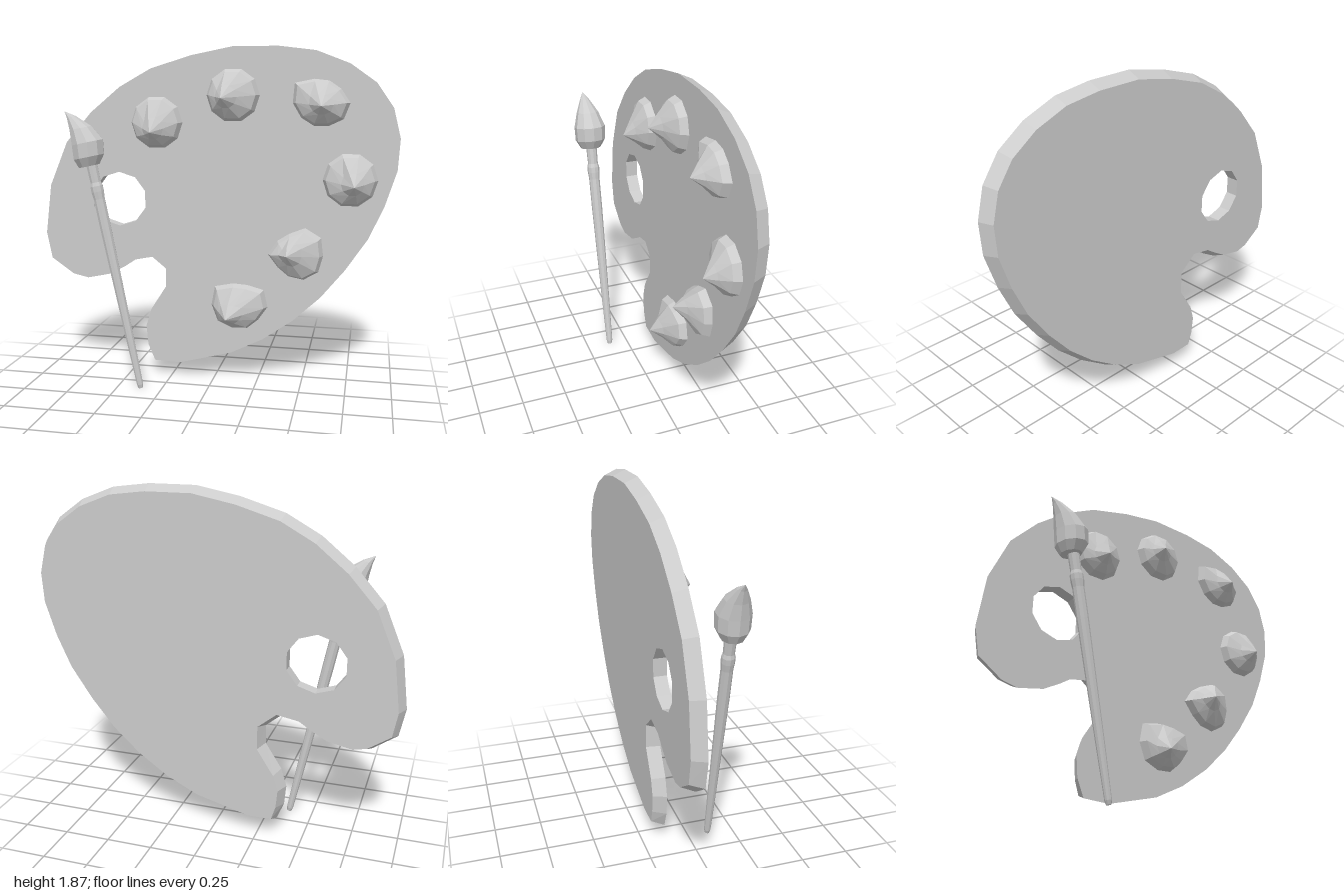
import * as THREE from 'three';

const material = new THREE.MeshStandardMaterial({ color: 0xcccccc, flatShading: true });

// Skin a list of closed rings (arrays of Vector3, all the same length)
function loft(rings) {
  const n = rings[0].length;
  const positions = rings.flat().flatMap((p) => [p.x, p.y, p.z]);
  const index = [];
  for (let i = 0; i < rings.length - 1; i++) {
    for (let k = 0; k < n; k++) {
      const a = i * n + k, b = i * n + (k + 1) % n;
      index.push(a, b, b + n, a, b + n, a + n);
    }
  }
  const g = new THREE.BufferGeometry();
  g.setAttribute('position', new THREE.Float32BufferAttribute(positions, 3));
  g.setIndex(index);
  g.computeVertexNormals();
  return g;
}

function part(name, geometry) {
  const mesh = new THREE.Mesh(geometry, material);
  mesh.name = name;
  return mesh;
}

// Board with thumb hole and notch; its back outline is slightly smaller
function makePalette() {
  const outline = [
    [-0.2, 0.08], [0.1, 0.16], [0.28, 0.25], [0.45, 0.37], [0.6, 0.51], [0.73, 0.67],
    [0.85, 0.85], [0.93, 1.03], [0.99, 1.22], [1, 1.39], [0.96, 1.55], [0.87, 1.68],
    [0.73, 1.78], [0.55, 1.85], [0.35, 1.875], [0.1, 1.875], [-0.13, 1.83], [-0.36, 1.76],
    [-0.54, 1.66], [-0.71, 1.52], [-0.86, 1.35], [-0.965, 1.1], [-1, 0.82], [-0.97, 0.67],
    [-0.84, 0.58], [-0.75, 0.56], [-0.61, 0.59], [-0.52, 0.64], [-0.46, 0.68], [-0.36, 0.7],
    [-0.28, 0.635], [-0.28, 0.53], [-0.37, 0.39], [-0.4, 0.29], [-0.39, 0.18], [-0.35, 0.085],
  ].map(([x, y]) => new THREE.Vector2(x, y));
  const shape = new THREE.Shape(outline);
  const hole = [];
  for (let k = 0; k < 10; k++) {
    const a = -(k + 0.5) / 10 * Math.PI * 2;
    hole.push(new THREE.Vector2(-0.55 + 0.16 * Math.cos(a), 1.03 + 0.155 * Math.sin(a)));
  }
  shape.holes.push(new THREE.Path(hole));

  const g = new THREE.ExtrudeGeometry(shape, { depth: 0.07, bevelEnabled: false });
  const pos = g.attributes.position;
  const n = outline.length;
  for (let i = 0; i < pos.count; i++) {
    if (pos.getZ(i) > 0.01) continue;
    const p = new THREE.Vector2(pos.getX(i), pos.getY(i));
    const k = outline.findIndex((q) => q.distanceTo(p) < 1e-4);
    if (k < 0) continue;
    const t = outline[(k + 1) % n].clone().sub(outline[(k + n - 1) % n]).normalize();
    pos.setXY(i, p.x - t.y * 0.032, p.y + t.x * 0.032);
  }
  g.translate(0, 0, -0.2);
  g.computeVertexNormals();
  return part('palette', g);
}

// Dab of paint: low rim, then a swirled cone to an off-centre peak
function makeDab([cx, cy, px, py, radii]) {
  const n = 10;
  const ring = (size, lean, z, swirl = 0) => Array.from({ length: n }, (_, k) => {
    const a = k / n * Math.PI * 2;
    const r = (radii ? radii[k] : 0.147) * size;
    const turn = ((k + 6) % n) / n - 0.5;
    return new THREE.Vector3(
      cx + (px - cx) * lean + r * Math.cos(a),
      cy + (py - cy) * lean + r * Math.sin(a),
      z + swirl * turn);
  });
  return part('paintDab', loft([
    ring(1, 0, -0.13), ring(0.88, 0, -0.09), ring(0.42, 0.6, -0.045, 0.025), ring(0, 1, 0.01),
  ]));
}

// Round section of the leaning brush
function brushRing([x, y, r]) {
  const lean = 0.204;
  return Array.from({ length: 10 }, (_, k) => {
    const a = k / 10 * Math.PI * 2;
    const c = r * Math.cos(a);
    return new THREE.Vector3(x + c * Math.cos(lean), y + c * Math.sin(lean), 0.11 - r * Math.sin(a));
  });
}

function makeBrush() {
  const brush = new THREE.Group();
  brush.name = 'brush';
  const handle = [
    [0.004, 0], [0.004, 0.013], [0.025, 0.018], [0.3, 0.023], [0.6, 0.027], [0.9, 0.031],
    [1.06, 0.031], [1.1, 0.035], [1.13, 0.035], [1.15, 0.029], [1.25, 0.031],
  ].map(([y, r]) => brushRing([-0.366 - 0.207 * y, y, r]));
  const bristles = [
    [-0.635, 1.238, 0], [-0.638, 1.238, 0.058], [-0.638, 1.288, 0.086], [-0.645, 1.365, 0.088],
    [-0.682, 1.44, 0.062], [-0.733, 1.5, 0.026], [-0.772, 1.53, 0],
  ].map(brushRing);
  brush.add(part('handle', loft(handle)), part('bristles', loft(bristles)));
  return brush;
}

export function createModel() {
  const model = new THREE.Group();
  model.name = 'paintPalette';
  model.add(makePalette());

  // Centre x, y; peak x, y; optional radii around the rim
  const dabs = [
    [-0.325, 1.465, -0.33, 1.415],
    [0.105, 1.615, 0.06, 1.6],
    [0.585, 1.575, 0.59, 1.56, [0.15, 0.125, 0.123, 0.133, 0.18, 0.155, 0.134, 0.128, 0.128, 0.145]],
    [0.745, 1.165, 0.77, 1.14],
    [0.46, 0.745, 0.42, 0.76, [0.15, 0.17, 0.16, 0.123, 0.128, 0.155, 0.123, 0.128, 0.145, 0.155]],
    [0.152, 0.44, 0.09, 0.39, [0.155, 0.165, 0.128, 0.134, 0.18, 0.165, 0.16, 0.139, 0.134, 0.128]],
  ];
  for (const dab of dabs) model.add(makeDab(dab));

  model.add(makeBrush());
  return model;
}
